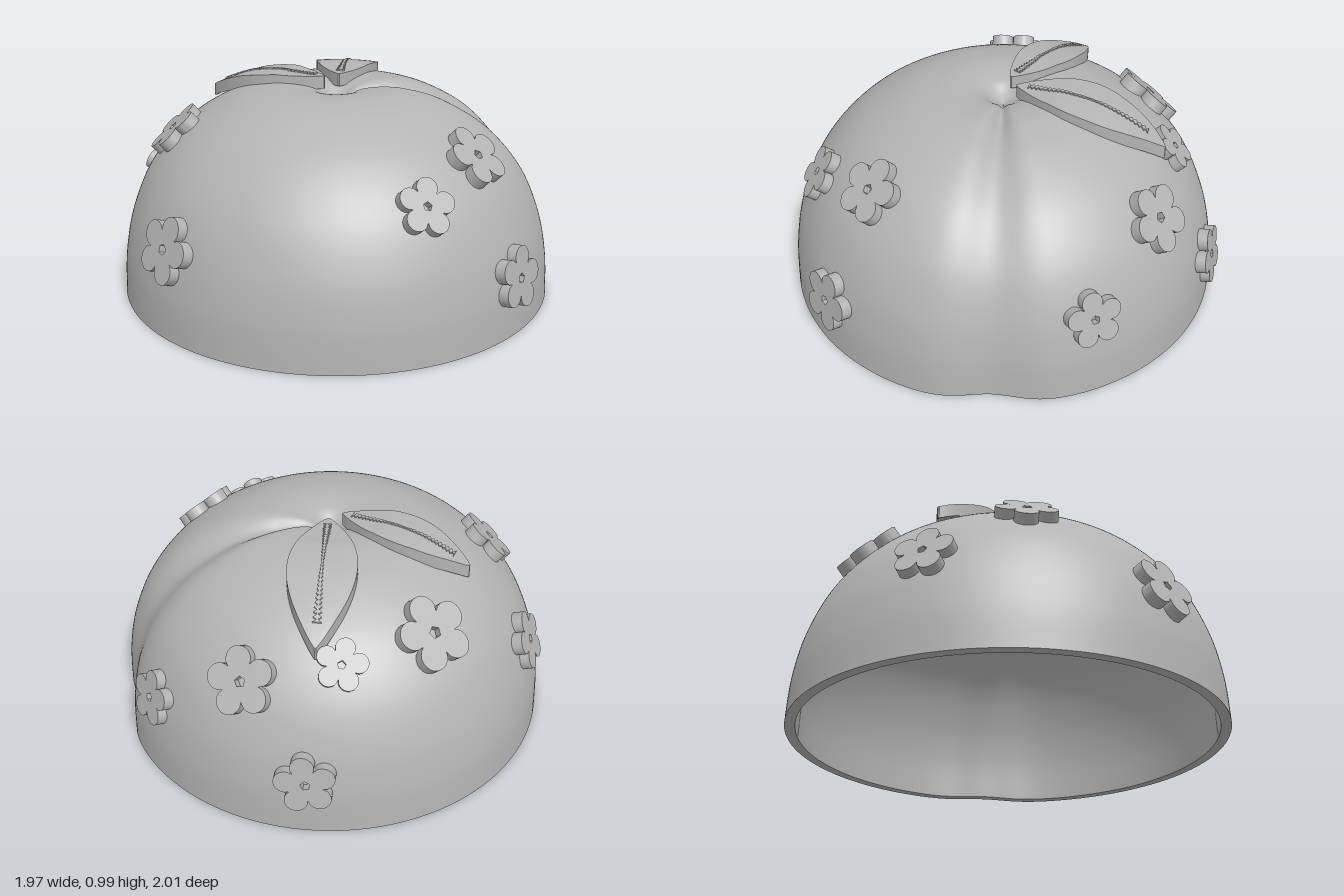
import * as THREE from 'three';
import { mergeVertices, toCreasedNormals } from 'three/addons/utils/BufferGeometryUtils.js';

const CENTRE_X = 0.01;
const V2 = (x, y) => new THREE.Vector2(x, y);

// Outer half-profile, from the rim up to the bottom of the stem dimple
const profile = new THREE.SplineCurve([
  V2(1, 0), V2(0.986, 0.2), V2(0.94, 0.4), V2(0.845, 0.6), V2(0.685, 0.775), V2(0.48, 0.895),
  V2(0.32, 0.938), V2(0.21, 0.943), V2(0.11, 0.925), V2(0.05, 0.885), V2(0, 0.86),
]);
const innerProfile = new THREE.SplineCurve([
  V2(0, 0.81), V2(0.2, 0.86), V2(0.45, 0.845), V2(0.65, 0.735), V2(0.8, 0.58),
  V2(0.892, 0.39), V2(0.938, 0.2), V2(0.952, 0),
]);
const samples = profile.getPoints(800);

// Height of the dome at radius r, ignoring the dimple
const crown = (r) => (r < 0.25 ? 0.943 : samples.find((p) => p.x <= r).y);

// Lathed surface with the crease on the +x side pressed in
function creasedLathe(points) {
  let geo = new THREE.LatheGeometry(points, 240);
  const pos = geo.attributes.position;
  const p = new THREE.Vector3();
  for (let i = 0; i < pos.count; i++) {
    p.fromBufferAttribute(pos, i);
    const r = Math.hypot(p.x, p.z);
    const angle = Math.atan2(p.z, p.x);
    const depth = 0.05 * Math.min(1, r / 0.25) * Math.exp(-((angle / 0.17) ** 2));
    p.multiplyScalar(1 - depth / p.length());
    pos.setXYZ(i, p.x, p.y, p.z);
  }
  geo.deleteAttribute('uv');
  geo.deleteAttribute('normal');
  geo = mergeVertices(geo, 1e-5);
  geo.computeVertexNormals();
  return geo;
}

// Five-petalled blossom with a pentagon hole, facing +z
function flowerGeometry(R) {
  const outline = [];
  for (let i = 0; i < 100; i++) {
    const a = (i / 100) * Math.PI * 2;
    const r = R * (0.55 + 0.45 * Math.abs(Math.cos(2.5 * a)) ** 0.6);
    outline.push(V2(r * Math.cos(a), r * Math.sin(a)));
  }
  const shape = new THREE.Shape(outline);
  const hole = [];
  for (let i = 0; i < 5; i++) {
    const a = -(i / 5) * Math.PI * 2;
    hole.push(V2(0.16 * R * Math.cos(a), 0.16 * R * Math.sin(a)));
  }
  shape.holes.push(new THREE.Path(hole));
  const geo = new THREE.ExtrudeGeometry(shape, { depth: 0.07, bevelEnabled: false });
  geo.translate(0, 0, -0.032);
  return toCreasedNormals(geo, 0.6);
}

// Strip bent over the crown; a box whose x runs base to tip and z runs across
function bentStrip(base, tip, t0, t1, segs, halfWidth, topLift, thickness) {
  const geo = new THREE.BoxGeometry(1, 1, 1, segs, 1, 8);
  const pos = geo.attributes.position;
  const dir = tip.clone().sub(base);
  const side = V2(-dir.y, dir.x).normalize();
  for (let i = 0; i < pos.count; i++) {
    const k = pos.getX(i) + 0.5;
    const t = t0 + (t1 - t0) * k;
    const s = 2 * pos.getZ(i) * halfWidth(k);
    const x = base.x + dir.x * t + side.x * s;
    const z = base.y + dir.y * t + side.y * s;
    const top = crown(Math.hypot(x - CENTRE_X, z)) + 0.035 + 0.04 * t * t + topLift;
    pos.setXYZ(i, x, pos.getY(i) > 0 ? top : top - thickness, z);
  }
  return toCreasedNormals(geo, 0.6);
}

export function createModel() {
  const group = new THREE.Group();
  const grey = new THREE.MeshStandardMaterial({ color: 0xb4b4b4 });
  grey.name = 'plain grey';

  const add = (name, geo) => {
    const mesh = new THREE.Mesh(geo, grey);
    mesh.name = name;
    group.add(mesh);
    return mesh;
  };

  // Hollow fruit half
  add('outerShell', creasedLathe(profile.getPoints(90))).position.x = CENTRE_X;
  add('innerShell', creasedLathe(innerProfile.getPoints(50))).position.x = CENTRE_X;
  add('rim', creasedLathe([V2(0.952, 0), V2(1, 0)])).position.x = CENTRE_X;

  // Blossoms: x and z give the bearing, then height, radius and turn in degrees
  const flowers = [
    [-0.29, -0.66, 0.74, 0.165, 95],
    [0.11, -0.76, 0.71, 0.112, 75],
    [0.51, -0.68, 0.62, 0.15, 110],
    [0.3, -0.96, 0.27, 0.135, 100],
    [-0.8, -0.45, 0.47, 0.135, 85],
    [-0.73, -0.02, 0.74, 0.14, 120],
    [-0.8, 0.55, 0.39, 0.15, 75],
    [0.55, 0.55, 0.73, 0.145, 90],
    [0.27, 0.83, 0.62, 0.125, 75],
    [0.69, 0.73, 0.26, 0.14, 75],
    [0.88, -0.42, 0.38, 0.125, 95],
  ];
  for (const [x, z, y, R, turn] of flowers) {
    const bearing = Math.atan2(z, x - CENTRE_X);
    const i = samples.findIndex((p) => p.y >= y);
    const tangent = samples[i + 1].clone().sub(samples[i - 1]).normalize();
    const c = Math.cos(bearing), s = Math.sin(bearing);
    const up = new THREE.Vector3(tangent.x * c, tangent.y, tangent.x * s);
    const out = new THREE.Vector3(tangent.y * c, -tangent.x, tangent.y * s);
    const right = new THREE.Vector3().crossVectors(up, out);
    const flower = add('flower', flowerGeometry(R));
    flower.quaternion.setFromRotationMatrix(new THREE.Matrix4().makeBasis(right, up, out));
    flower.rotateZ(THREE.MathUtils.degToRad(turn));
    flower.position.set(CENTRE_X + samples[i].x * c, samples[i].y, samples[i].x * s);
  }

  // Two leaves at the stem, each with a jagged midrib
  const leaves = [
    [V2(0.03, -0.06), V2(0.21, -0.72), 0.145],
    [V2(-0.04, -0.03), V2(-0.53, -0.38), 0.115],
  ];
  for (const [base, tip, half] of leaves) {
    const leafWidth = (k) => 0.004 + half * Math.sin(Math.PI * k) ** 0.85;
    add('leaf', bentStrip(base, tip, 0, 1, 36, leafWidth, 0, 0.06));
    const ribWidth = (k) => (Math.round(k * 56) % 2 ? 0.003 : 0.005 + 0.014 * Math.abs(2 * k - 1));
    add('leafMidrib', bentStrip(base, tip, 0.08, 0.88, 56, ribWidth, 0.006, 0.012));
  }
  return group;
}
